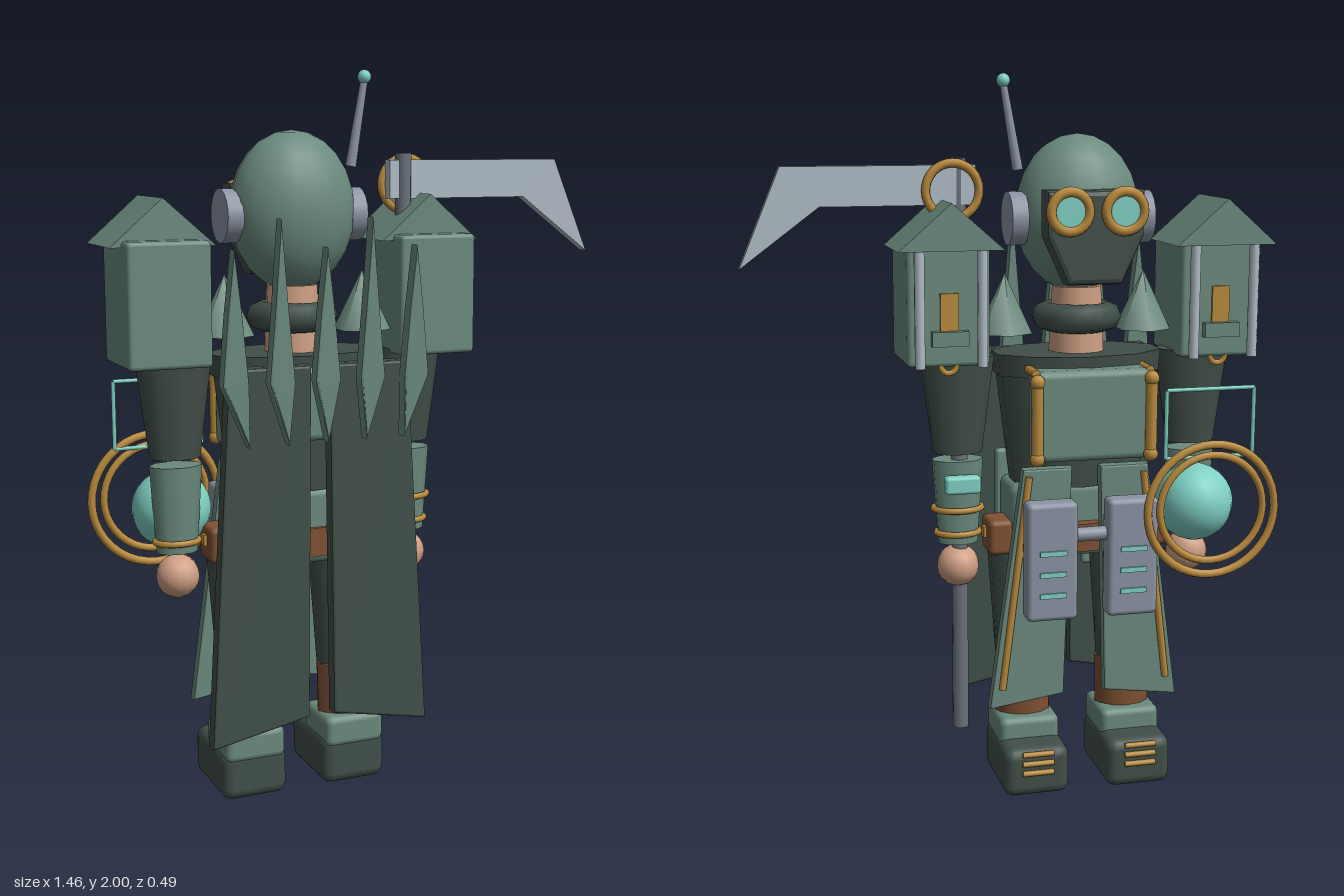
import * as THREE from 'three';
import { RoundedBoxGeometry } from 'three/addons/geometries/RoundedBoxGeometry.js';

const mat = (name, color) => Object.assign(new THREE.MeshStandardMaterial({ color }), { name });

export function createModel() {
  const green = mat('sage green', 0x6b8a7e), dark = mat('dark green', 0x414f49);
  const teal = mat('teal glass', 0x7fd0c4), gold = mat('brass', 0xb98a3c);
  const slate = mat('slate grey', 0x8b93a3), steel = mat('blade steel', 0xb0bcc6);
  const pole = mat('pole grey', 0x6c727c), skin = mat('skin', 0xcf9f84), brown = mat('leather brown', 0x7f5032);

  const root = new THREE.Group();
  const body = new THREE.Group(); // the figure stands off centre, balanced by the long blade
  body.name = 'figure';
  body.position.x = -0.2;
  root.add(body);

  const add = (name, geo, m, x = 0, y = 0, z = 0) => {
    const mesh = new THREE.Mesh(geo, m);
    mesh.name = name;
    mesh.position.set(x, y, z);
    body.add(mesh);
    return mesh;
  };
  const rbox = (w, h, d, r = 0.015) => new RoundedBoxGeometry(w, h, d, 2, r);
  const box = (w, h, d) => new THREE.BoxGeometry(w, h, d);
  const cyl = (rt, rb, h, n = 12, zs = 1) => new THREE.CylinderGeometry(rt, rb, h, n).scale(1, 1, zs);
  const ball = (r, n = 16) => new THREE.SphereGeometry(r, n, Math.ceil(n * 0.65));
  const ring = (R, t, n = 32) => new THREE.TorusGeometry(R, t, 8, n);
  // Plate cut from an outline, centred on z = 0
  const plate = (pts, depth, bevel = 0) => {
    const shape = new THREE.Shape(pts.map(([x, y]) => new THREE.Vector2(x, y)));
    return new THREE.ExtrudeGeometry(shape, {
      depth: depth - 2 * bevel, bevelEnabled: bevel > 0, bevelThickness: bevel,
      bevelSize: bevel, bevelOffset: -bevel, bevelSegments: 2
    }).translate(0, 0, -depth / 2 + bevel);
  };
  const rod = (name, m, a, b, ra, rb = ra) => {
    const A = new THREE.Vector3(...a), B = new THREE.Vector3(...b), d = B.clone().sub(A);
    const mesh = add(name, cyl(rb, ra, d.length(), 10), m);
    mesh.position.copy(A).add(B).multiplyScalar(0.5);
    mesh.quaternion.setFromUnitVectors(new THREE.Vector3(0, 1, 0), d.normalize());
    return mesh;
  };

  // Head, ear discs, antenna
  add('head', ball(1, 18).scale(0.175, 0.215, 0.135), green, 0, 1.628, -0.015);
  add('neck', cyl(0.07, 0.08, 0.2, 12), skin, 0, 1.33, -0.02);
  for (const s of [-1, 1])
    add('earDisc', cyl(0.073, 0.073, 0.045, 18), slate, s * 0.178, 1.617, -0.03).rotation.z = Math.PI / 2;
  rod('antenna', slate, [0.16, 1.745, 0.015], [0.2, 1.975, 0.015], 0.015, 0.01);
  add('antennaTip', ball(0.019, 12), teal, 0.2, 1.983, 0.015);

  // Face mask and goggles
  add('mask', plate([[-0.135, 1.7], [0.135, 1.7], [0.135, 1.58], [0.075, 1.45], [-0.075, 1.45], [-0.135, 1.58]], 0.075, 0.015),
    dark, 0, 0, -0.172);
  for (const s of [-1, 1]) {
    add('goggleRim', ring(0.052, 0.014, 24), gold, s * 0.075, 1.645, -0.222);
    add('goggleLens', cyl(0.048, 0.048, 0.02, 20), teal, s * 0.075, 1.645, -0.216).rotation.x = Math.PI / 2;
  }

  // Torso, collar, plates, hips
  add('collar', ring(0.085, 0.04, 20).rotateX(Math.PI / 2), dark, 0, 1.345, -0.02);
  add('mantle', cyl(0.245, 0.24, 0.06, 10, 0.6), dark, 0, 1.22, -0.02);
  add('torso', cyl(0.235, 0.19, 0.35, 10, 0.56), dark, 0, 1.05, -0.01);
  add('hips', rbox(0.4, 0.22, 0.17, 0.03), green, 0, 0.775, 0);
  add('belt', cyl(0.215, 0.215, 0.08, 14, 0.52), brown, 0, 0.73, -0.01);
  add('backPlate', rbox(0.32, 0.2, 0.06, 0.02), green, 0, 1.12, 0.11);
  add('chestPlate', rbox(0.33, 0.25, 0.09, 0.02), green, 0, 1.095, -0.165);
  for (const s of [-1, 1]) {
    rod('chestStrap', gold, [s * 0.16, 0.975, -0.215], [s * 0.16, 1.205, -0.215], 0.016);
    for (const y of [0.985, 1.195]) add('strapStud', ball(0.021, 10), gold, s * 0.16, y, -0.215);
    rod('shoulderStrap', gold, [s * 0.16, 1.215, -0.2], [s * 0.16, 1.215, -0.1], 0.012);
    add('sidePouch', rbox(0.07, 0.1, 0.11), brown, s * 0.225, 0.73, -0.02);
    add('pouchBuckle', box(0.008, 0.03, 0.03), gold, s * 0.264, 0.74, -0.02);
    add('shoulderSpike', new THREE.ConeGeometry(0.08, 0.165, 6), green, s * 0.2, 1.383, 0);
    add('tailPanel', rbox(0.15, 0.36, 0.03, 0.01), green, s * 0.13, 0.77, 0.1);
  }

  // Mirrored cape, tabard, pouches and legs
  for (const s of [-1, 1]) {
    const flip = pts => pts.map(([x, y]) => [s * x, y]);
    add('capePanel', plate(flip([[0.025, 1.235], [0.255, 1.235], [0.315, 0.21], [0.035, 0.265]]), 0.045, 0.008),
      dark, 0, 0, 0.165);
    add('tabard', plate(flip([[0.04, 0.94], [0.18, 0.94], [0.275, 0.25], [0.06, 0.28]]), 0.035, 0.006),
      green, 0, 0, -0.122);
    rod('tabardTrim', gold, [s * 0.165, 0.92, -0.145], [s * 0.24, 0.31, -0.145], 0.01);
    add('frontPouch', rbox(0.145, 0.335, 0.065, 0.015), slate, s * 0.115, 0.693, -0.188);
    for (let i = 0; i < 3; i++)
      add('pouchSlit', box(0.075, 0.014, 0.008), teal, s * 0.115, 0.6 + i * 0.06, -0.222);

    const x = s * 0.15;
    add('trouserLeg', cyl(0.105, 0.08, 0.34, 10, 0.72), dark, x, 0.515, -0.02);
    add('shin', cyl(0.083, 0.08, 0.17, 12, 0.8), brown, x, 0.26, -0.015);
    add('kneePad', ball(0.055, 12), green, x, 0.34, -0.07);
    add('bootCuff', rbox(0.175, 0.09, 0.18, 0.02), green, x, 0.158, -0.02);
    add('boot', rbox(0.19, 0.142, 0.265, 0.03), dark, x, 0.073, -0.067);
    for (let i = 0; i < 3; i++)
      rod('bootLace', gold, [x - 0.045, 0.075 + i * 0.028, -0.203], [x + 0.045, 0.075 + i * 0.028, -0.203], 0.008);
  }
  rod('pouchBridge', slate, [-0.06, 0.76, -0.185], [0.06, 0.76, -0.185], 0.02);

  // Leaf-shaped blades along the back
  for (let i = -2; i <= 2; i++) {
    const top = i % 2 ? 1.62 : 1.545, lean = -i * 0.018;
    add('backSpike', plate([[0, top], [-0.02, 1.38], [-0.036, 1.2], [lean, 1.035], [0.036, 1.2], [0.02, 1.38]], 0.04, 0.006),
      green, i * 0.127, 0, 0.222);
  }

  // Arms
  for (const s of [-1, 1]) {
    const x = s * 0.34;
    add('sleeve', cyl(0.105, 0.07, 0.27, 10, 0.72), dark, x, 1.11, -0.022);
    add('forearm', cyl(0.073, 0.057, 0.24, 10, 0.72), green, x, 0.835, -0.02);
    add('hand', ball(0.06, 14), skin, x, 0.647, -0.02);
    add('wristBand', ring(0.06, 0.009, 20).rotateX(Math.PI / 2).scale(1, 1, 0.78), gold, x, 0.745, -0.02);
  }
  add('armGauge', rbox(0.1, 0.05, 0.04, 0.01), teal, 0.34, 0.895, -0.087);
  add('gaugeBand', ring(0.068, 0.009, 20).rotateX(Math.PI / 2).scale(1, 1, 0.78), gold, 0.34, 0.815, -0.02);

  // Small gabled houses worn on the shoulders
  for (const s of [-1, 1]) {
    const x = s * 0.382;
    add('houseBody', rbox(0.226, 0.33, 0.24, 0.012), green, x, 1.397, -0.01);
    add('houseRoof', plate([[-0.143, 1.545], [0.143, 1.545], [0, 1.67]], 0.235), green, x, 0, -0.06);
    for (const k of [-1, 1])
      rod('houseColumn', steel, [x + k * 0.085, 1.235, -0.16], [x + k * 0.085, 1.55, -0.16], 0.014);
    add('houseDoor', box(0.05, 0.1, 0.009), gold, x, 1.38, -0.133);
    add('houseLedge', box(0.1, 0.04, 0.03), green, x, 1.31, -0.14);
    add('houseRing', ring(0.022, 0.008, 14), gold, x, 1.235, -0.12);
  }

  // Long-handled blade
  rod('bladePole', pole, [0.336, 0.165, -0.025], [0.336, 1.78, -0.025], 0.023);
  add('blade', plate([[0.29, 1.762], [0.812, 1.762], [0.924, 1.497], [0.711, 1.656], [0.29, 1.656]], 0.034), steel, 0, 0, -0.029);
  add('bladeRing', ring(0.073, 0.012), gold, 0.355, 1.695, -0.053);

  // Glowing orb with two hoops and a thin wire frame
  add('orb', ball(0.11, 20), teal, -0.327, 0.815, -0.11);
  add('outerHoop', ring(0.185, 0.012, 40), gold, -0.335, 0.82, -0.232);
  add('innerHoop', ring(0.15, 0.011, 40), gold, -0.335, 0.825, -0.232);
  const frame = [[-0.2, 1.16], [-0.452, 1.16], [-0.452, 0.97], [-0.2, 0.97]];
  frame.forEach(([x, y], i) => {
    const [u, v] = frame[(i + 1) % 4];
    rod('wireFrame', teal, [x, y, -0.225], [u, v, -0.225], 0.006);
  });

  return root;
}
